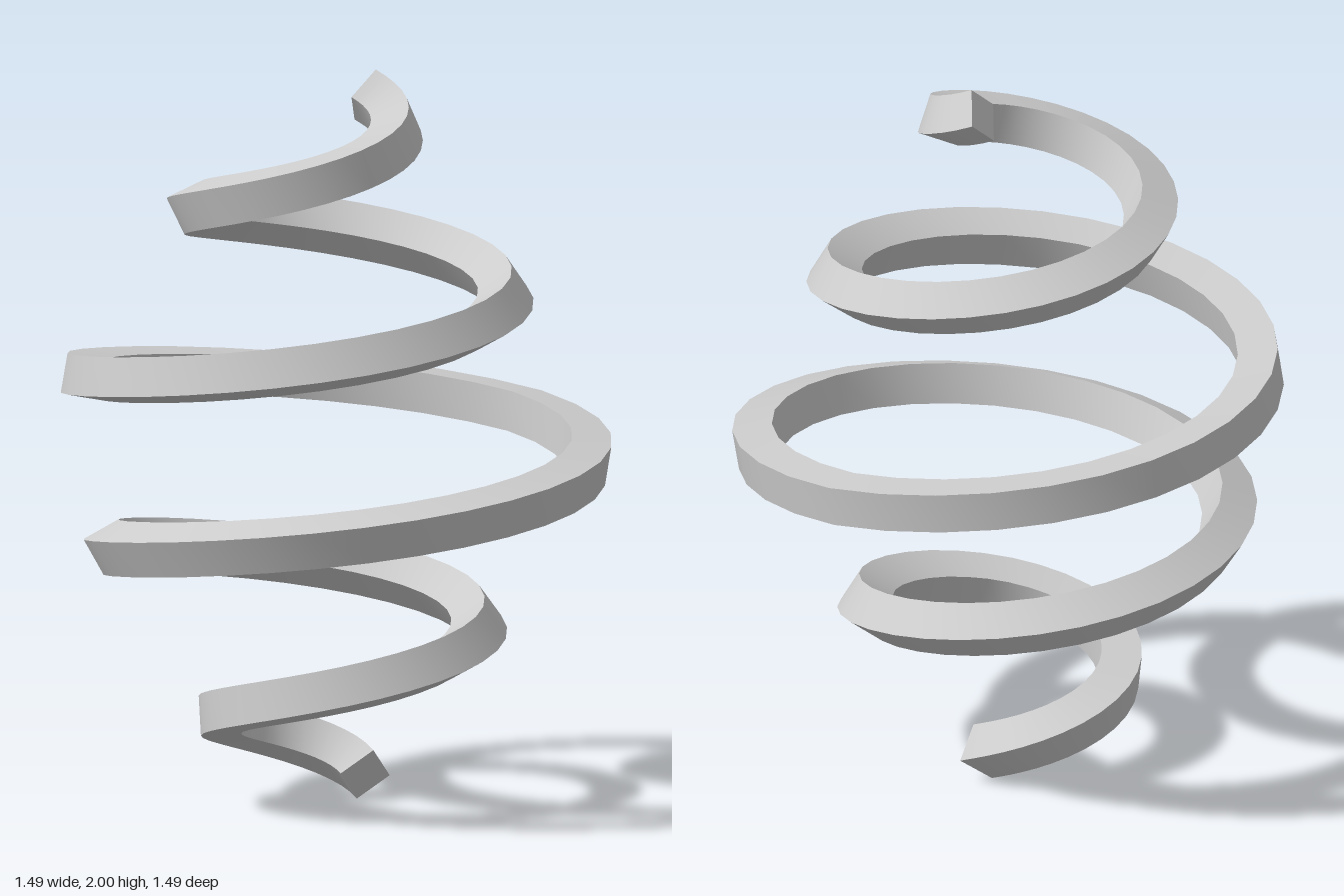
import * as THREE from 'three';
import { toCreasedNormals } from 'three/addons/utils/BufferGeometryUtils.js';

const TURNS = 4, STEPS_PER_TURN = 32, SIDES = 4;

// Helix that widens to the middle and narrows again, stepped evenly by angle
class BarrelHelix extends THREE.Curve {
  getPoint(u, target = new THREE.Vector3()) {
    const turn = u * TURNS;
    const angle = turn * Math.PI * 2;
    const radius = 0.16 + 0.298 * Math.min(turn, TURNS - turn);
    return target.set(radius * Math.cos(angle) - 0.07, 0.07 + 1.86 * u, -radius * Math.sin(angle));
  }
  getUtoTmapping(u) {
    return u;
  }
}

// Four-sided tube along the curve, closed at both ends
function squareWire(curve, segments, radius) {
  const tube = new THREE.TubeGeometry(curve, segments, radius, SIDES, false);
  const e = segments * (SIDES + 1);
  const caps = [0, 1, 2, 0, 2, 3, e, e + 2, e + 1, e, e + 3, e + 2];
  const geometry = new THREE.BufferGeometry();
  geometry.setAttribute('position', tube.getAttribute('position'));
  geometry.setIndex([...tube.index.array, ...caps]);
  return toCreasedNormals(geometry, 0.7);
}

export function createModel() {
  const group = new THREE.Group();
  group.name = 'barrelSpring';
  const coil = new THREE.Mesh(
    squareWire(new BarrelHelix(), TURNS * STEPS_PER_TURN, 0.077),
    new THREE.MeshStandardMaterial({ color: 0xcccccc })
  );
  coil.name = 'coil';
  group.add(coil);
  return group;
}
